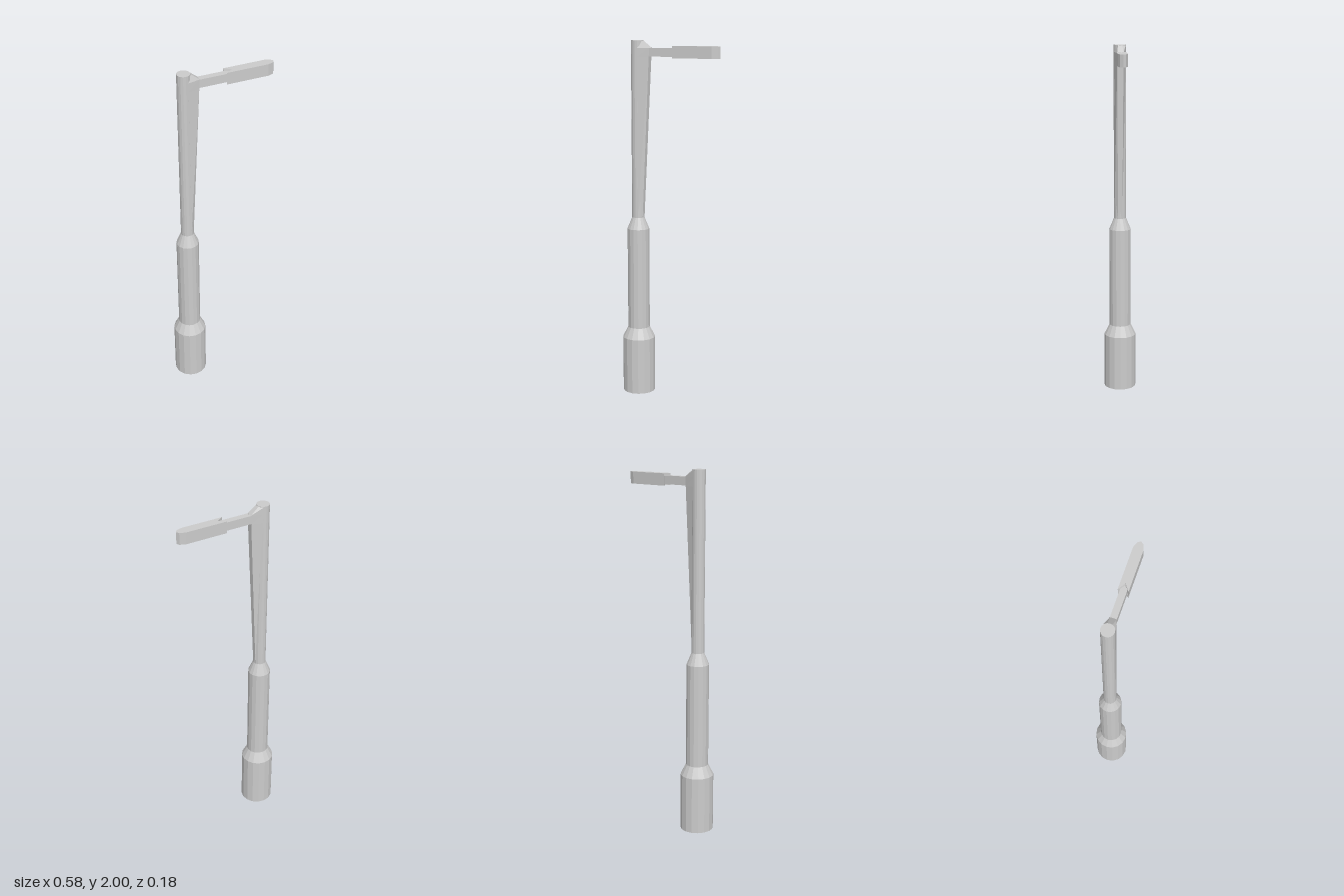
import * as THREE from 'three';

const material = new THREE.MeshStandardMaterial({ color: 0xcccccc, flatShading: true, side: THREE.DoubleSide });
const POLE_X = -0.2;

function add(group, name, geometry, x = 0, y = 0, z = 0) {
  const mesh = new THREE.Mesh(geometry, material);
  mesh.name = name;
  mesh.position.set(x, y, z);
  group.add(mesh);
  return mesh;
}

// Skins a closed surface over equally sized cross-sections, bottom to top
function loft(sections) {
  const n = sections[0].length;
  const index = [];
  for (let s = 0; s < sections.length - 1; s++) {
    for (let i = 0; i < n; i++) {
      const a = s * n + i, b = s * n + (i + 1) % n;
      index.push(a, a + n, b, b, a + n, b + n);
    }
  }
  const top = (sections.length - 1) * n;
  for (let i = 1; i < n - 1; i++) {
    index.push(0, i, i + 1, top, top + i + 1, top + i);
  }
  const geometry = new THREE.BufferGeometry();
  geometry.setAttribute('position', new THREE.Float32BufferAttribute(sections.flat(2), 3));
  geometry.setIndex(index);
  geometry.computeVertexNormals();
  return geometry;
}

// Extrudes a plan outline upwards
function extrudeUp(shape, height) {
  return new THREE.ExtrudeGeometry(shape, { depth: height, bevelEnabled: false }).rotateX(-Math.PI / 2);
}

// Lamp plan: rounded nose, V notch at the arm end
function lampOutline(notch) {
  return new THREE.Shape([
    [notch, 0], [0.022, -0.026], [0.25, -0.026], [0.28, -0.015],
    [0.29, 0], [0.28, 0.015], [0.25, 0.026], [0.022, 0.026],
  ].map(([x, y]) => new THREE.Vector2(x, y)));
}

export function createModel() {
  const model = new THREE.Group();
  model.name = 'streetLamp';

  // Stepped pole
  const profile = [
    [0, 0], [0.092, 0], [0.092, 0.32], [0.062, 0.38],
    [0.062, 0.955], [0.035, 1.02], [0.035, 2], [0, 2],
  ].map(([r, y]) => new THREE.Vector2(r, y));
  add(model, 'pole', new THREE.LatheGeometry(profile, 16), POLE_X);

  // Tapered bracket blending the pole into the arm: [height, outer x, outer half width]
  const bracket = [
    [1.0, -0.168, 0.012], [1.91, -0.123, 0.017], [1.96, -0.12, 0.017], [1.999, -0.168, 0.012],
  ].map(([y, x, w]) => [[-0.19, y, -0.033], [x, y, -w], [x, y, w], [-0.19, y, 0.033]]);
  add(model, 'bracket', loft(bracket));

  // Horizontal arm
  add(model, 'arm', new THREE.BoxGeometry(0.19, 0.046, 0.034), -0.045, 1.936);

  // Lamp head with sloping notch
  const lamp = new THREE.Group();
  lamp.name = 'lampHead';
  model.add(lamp);
  const housing = extrudeUp(lampOutline(0.06), 0.045);
  const p = housing.attributes.position;
  for (let i = 0; i < p.count; i++) {
    if (Math.abs(p.getX(i) - 0.06) < 1e-4 && p.getY(i) < 0.001) p.setX(i, 0.04);
  }
  housing.computeVertexNormals();
  add(lamp, 'lampHousing', housing, 0, 1.925);

  // Rim around the recessed underside
  const rim = lampOutline(0.04);
  rim.holes.push(new THREE.Path([
    [0.06, -0.02], [0.06, 0.02], [0.248, 0.02], [0.273, 0.012],
    [0.281, 0], [0.273, -0.012], [0.248, -0.02],
  ].map(([x, y]) => new THREE.Vector2(x, y))));
  add(lamp, 'lampRim', extrudeUp(rim, 0.02), 0, 1.905);

  return model;
}
